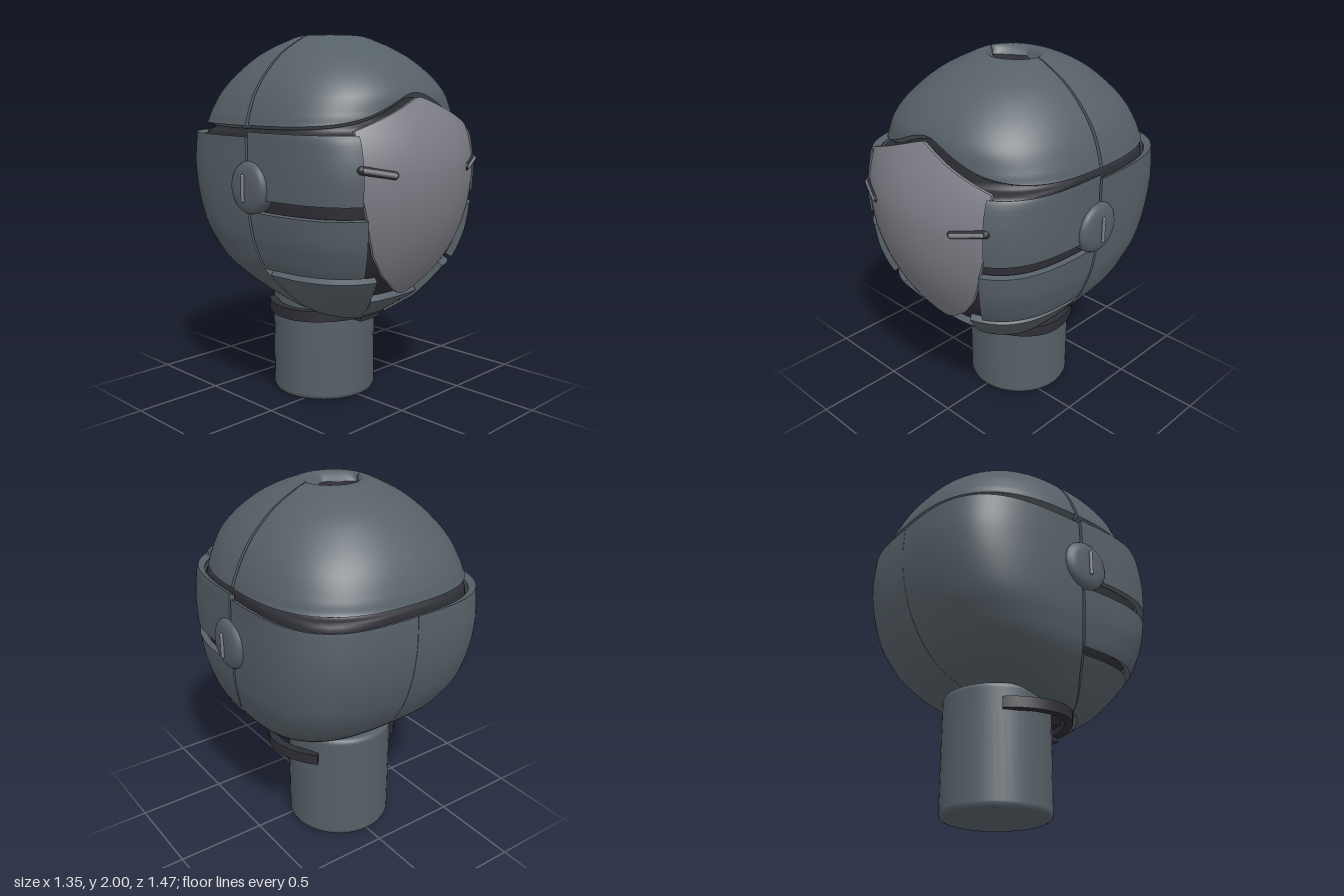
import * as THREE from 'three';
import { mergeGeometries } from 'three/addons/utils/BufferGeometryUtils.js';
import { ParametricGeometry } from 'three/addons/geometries/ParametricGeometry.js';

const mat = (name, color) => new THREE.MeshStandardMaterial({ name, color });
const V = (x, y, z) => new THREE.Vector3(x, y, z);
const points = (list) => list.map(([x, y]) => new THREE.Vector2(x, y));
const PI = Math.PI;

// Head cross-sections: y, half width, front z, back z, squareness, seam z
const ROWS = [
  [0.48, 0.16, 0.27, 0.19, 2.2, 0.22],
  [0.55, 0.31, 0.37, 0.13, 2.4, 0.165],
  [0.60, 0.39, 0.44, -0.15, 2.5, 0.13],
  [0.70, 0.48, 0.525, -0.40, 2.8, 0.075],
  [0.80, 0.55, 0.595, -0.54, 3.0, 0.035],
  [0.90, 0.585, 0.635, -0.615, 3.2, 0.01],
  [1.00, 0.607, 0.655, -0.665, 3.4, -0.005],
  [1.15, 0.62, 0.67, -0.71, 3.5, -0.015],
  [1.30, 0.622, 0.675, -0.73, 3.6, -0.02],
  [1.42, 0.62, 0.665, -0.73, 3.5, -0.02],
  [1.51, 0.618, 0.64, -0.722, 3.3, -0.025],
  [1.54, 0.606, 0.59, -0.70, 2.7, -0.03],
  [1.60, 0.588, 0.58, -0.68, 2.6, -0.035],
  [1.70, 0.543, 0.562, -0.63, 2.5, -0.04],
  [1.80, 0.472, 0.49, -0.55, 2.35, -0.04],
  [1.90, 0.365, 0.365, -0.435, 2.2, -0.04],
  [1.97, 0.245, 0.22, -0.30, 2.0, -0.04],
  [2.00, 0.165, 0.11, -0.185, 1.9, -0.04],
  [1.955, 0.15, 0.05, -0.14, 1.05, -0.04], // lip of the diamond opening
];
const TOP = 17, LIP = 18;

function section(t) {
  const i = Math.min(Math.floor(t), LIP - 1), f = t - i;
  const row = (k) => ROWS[Math.max(0, Math.min(LIP, k))];
  return ROWS[0].map((_, c) => {
    const [p, a, b, n] = [row(i - 1)[c], row(i)[c], row(i + 1)[c], row(i + 2)[c]];
    return a + 0.5 * f * (b - p + f * (2 * p - 5 * a + 4 * b - n + f * (3 * (a - b) + n - p)));
  });
}
function levelOf(y) {
  let lo = 0, hi = TOP;
  for (let k = 0; k < 24; k++) {
    const m = (lo + hi) / 2;
    if (section(m)[0] < y) lo = m; else hi = m;
  }
  return lo;
}
// Point of the head at an angle (0 = left side, PI/2 = front) and a level
function headPoint(phi, t, scale = 1, radius = 1) {
  const [y, a, f, b, n, zc] = section(t);
  const c = Math.cos(phi), s = Math.sin(phi), e = Math.max(1, n);
  const r = radius * (Math.abs(c) ** e + Math.abs(s) ** e) ** (-1 / e);
  const d = s > 0 ? f - zc : zc - b;
  return V(a * r * c * scale, 1.2 + (y - 1.2) * scale, (zc + d * r * s) * scale);
}

const surface = (p, nu, nv) => new ParametricGeometry((u, v, out) => out.copy(p(u, v)), nu, nv);

// Closed sheet between an outer and an inner surface
function slab(p, q, nu, nv) {
  const mix = (a, b, w) => a.lerp(b, w);
  return mergeGeometries([
    surface(p, nu, nv),
    surface((u, v) => q(1 - u, v), nu, nv),
    surface((u, w) => mix(q(u, 0), p(u, 0), w), nu, 1),
    surface((u, w) => mix(p(u, 1), q(u, 1), w), nu, 1),
    surface((w, v) => mix(q(0, v), p(0, v), w), 1, nv),
    surface((w, v) => mix(p(1, v), q(1, v), w), 1, nv),
  ]);
}
// Shell patch; angles run from a down to b, levels from low(phi) to high(phi)
function patch(a, b, low, high, nu, nv, outer = 1) {
  const at = (scale) => (u, v) => {
    const phi = a + (b - a) * u, l = low(phi);
    return headPoint(phi, l + (high(phi) - l) * v, scale);
  };
  return slab(at(outer), at(outer - 0.05), nu, nv);
}
function mirrored(geo) {
  const g = geo.clone().scale(-1, 1, 1), ix = g.index.array;
  for (let i = 0; i < ix.length; i += 3) [ix[i], ix[i + 1]] = [ix[i + 1], ix[i]];
  return g;
}
// Linear lookup in a short list of [key, value] pairs
function lookup(list, x) {
  const i = Math.max(1, list.findIndex(([k]) => k >= x));
  const [[x0, y0], [x1, y1]] = [list[i - 1], list[i]];
  return y0 + (y1 - y0) * (x - x0) / (x1 - x0);
}

export function createModel() {
  const shell = mat('shellGrey', 0x566067);
  const dark = mat('darkJoint', 0x2e2e36);
  const visor = mat('visorGrey', 0x7d7d86);
  const model = new THREE.Group();
  model.name = 'head';
  const add = (name, geo, m) => {
    const mesh = new THREE.Mesh(geo, m);
    mesh.name = name;
    model.add(mesh);
    return mesh;
  };
  const pair = (name, geo, m) => {
    add(name + 'Left', geo, m);
    add(name + 'Right', mirrored(geo), m);
  };
  const level = (y) => { const t = levelOf(y); return () => t; };

  // Dark core seen through every gap
  add('innerCore', surface((u, v) => headPoint(2 * PI * (1 - u), Math.min(TOP, Math.max(0, v * 19 - 1)),
    0.93, v === 0 || v === 1 ? 0 : 1), 72, 76), dark);

  // Crown halves; the front one arches over the visor
  const arch = (phi) => levelOf(1.54 + 0.165 * Math.exp(-((Math.cos(phi) / 0.47) ** 2)));
  add('crownFront', patch(PI - 0.016, 0.016, arch, () => LIP, 48, 40), shell);
  add('crownBack', patch(-0.016, -PI + 0.016, level(1.54), () => LIP, 48, 40), shell);
  const diamond = new THREE.Shape(points([[0.16, 0.04], [0, 0.15], [-0.16, 0.04], [0, -0.06]]));
  add('crownOpening', new THREE.ShapeGeometry(diamond).rotateX(-PI / 2).translate(0, 1.957, 0), dark);

  // Back shell, cheek bands and jaw
  pair('backShell', patch(-0.012, -PI / 2 + 0.002, level(0.555), level(1.485), 32, 40), shell);
  pair('templePanel', patch(0.92, 0.012, level(1.175), level(1.51), 24, 10), shell);
  pair('cheekPanel', patch(0.96, 0.012, level(0.805), level(1.105), 24, 12), shell);
  const jawLow = (phi) => levelOf(0.55 - 0.05 * phi);
  pair('jawPanel', patch(1.09, 0.012, jawLow, level(0.77), 24, 12), shell);
  add('chinPlate', patch(PI - 1.13, 1.13, level(0.485), level(0.622), 16, 8, 0.985), shell);
  add('chinTab', new THREE.BoxGeometry(0.15, 0.04, 0.1).translate(0, 0.485, 0.215), dark);

  // Curved shield-shaped visor
  const lower = [[0, 0.655], [0.05, 0.67], [0.1, 0.7], [0.23, 0.8], [0.32, 0.91], [0.37, 1.02], [0.41, 1.15], [0.44, 1.25]];
  const visorZ = (x, y) => 0.735 - (y > 1.3 ? 1.03 : 0.59) * (y - 1.3) ** 2 - 0.68 * x * x;
  const visorAt = (back) => (u, v) => {
    const x = (u - 0.5) * 0.87, ax = Math.abs(x);
    const y0 = lookup(lower, ax), y1 = 1.69 - 0.37 * Math.hypot(ax, 0.02);
    const y = y0 + (y1 - y0) * v;
    return V(x, y, visorZ(x, y) - back);
  };
  add('visor', slab(visorAt(0), visorAt(0.015), 40, 36), visor);

  const rod = (name, a, b, r, m) => {
    const d = b.clone().sub(a);
    const mesh = add(name, new THREE.CapsuleGeometry(r, d.length(), 6, 12), m);
    mesh.position.copy(a).lerp(b, 0.5);
    mesh.quaternion.setFromUnitVectors(V(0, 1, 0), d.normalize());
  };
  for (const s of [1, -1]) {
    // Slanted slot on the visor with a lighter bar inside
    rod('visorSlot', V(s * 0.285, 1.32, 0.672), V(s * 0.44, 1.35, 0.6), 0.022, dark);
    rod('visorSlotBar', V(s * 0.29, 1.32, 0.685), V(s * 0.435, 1.349, 0.618), 0.012, visor);
    // Ear disc with its pin
    const ear = add('earDisc', new THREE.LatheGeometry(points([[0, -0.06], [0.135, -0.06], [0.135, -0.06], [0.135, 0.005],
      [0.128, 0.018], [0.112, 0.03], [0.085, 0.037], [0.05, 0.039], [0, 0.04]]), 40), shell);
    ear.rotation.z = -s * PI / 2;
    ear.position.set(s * 0.618, 1.23, 0);
    rod('earPin', V(s * 0.667, 1.168, 0), V(s * 0.667, 1.292, 0), 0.009, visor);
  }

  // Neck and open collar
  add('neck', new THREE.LatheGeometry(points([[0, 0], [0.27, 0], [0.285, 0.006], [0.292, 0.022], [0.292, 0.03],
    [0.292, 0.61], [0.292, 0.62], [0.285, 0.635], [0.27, 0.642], [0, 0.642]]), 48).translate(0, 0, -0.1), shell);
  const ring = (r, front) => (u, v) => {
    const phi = PI / 2 + 0.75 * PI * (1 - 2 * u), s = Math.sin(phi);
    return V(r * Math.cos(phi), 0.49 + 0.06 * v, (s > 0 ? front : r) * s);
  };
  add('collar', slab(ring(0.38, 0.28), ring(0.335, 0.235), 48, 1), dark);
  return model;
}
